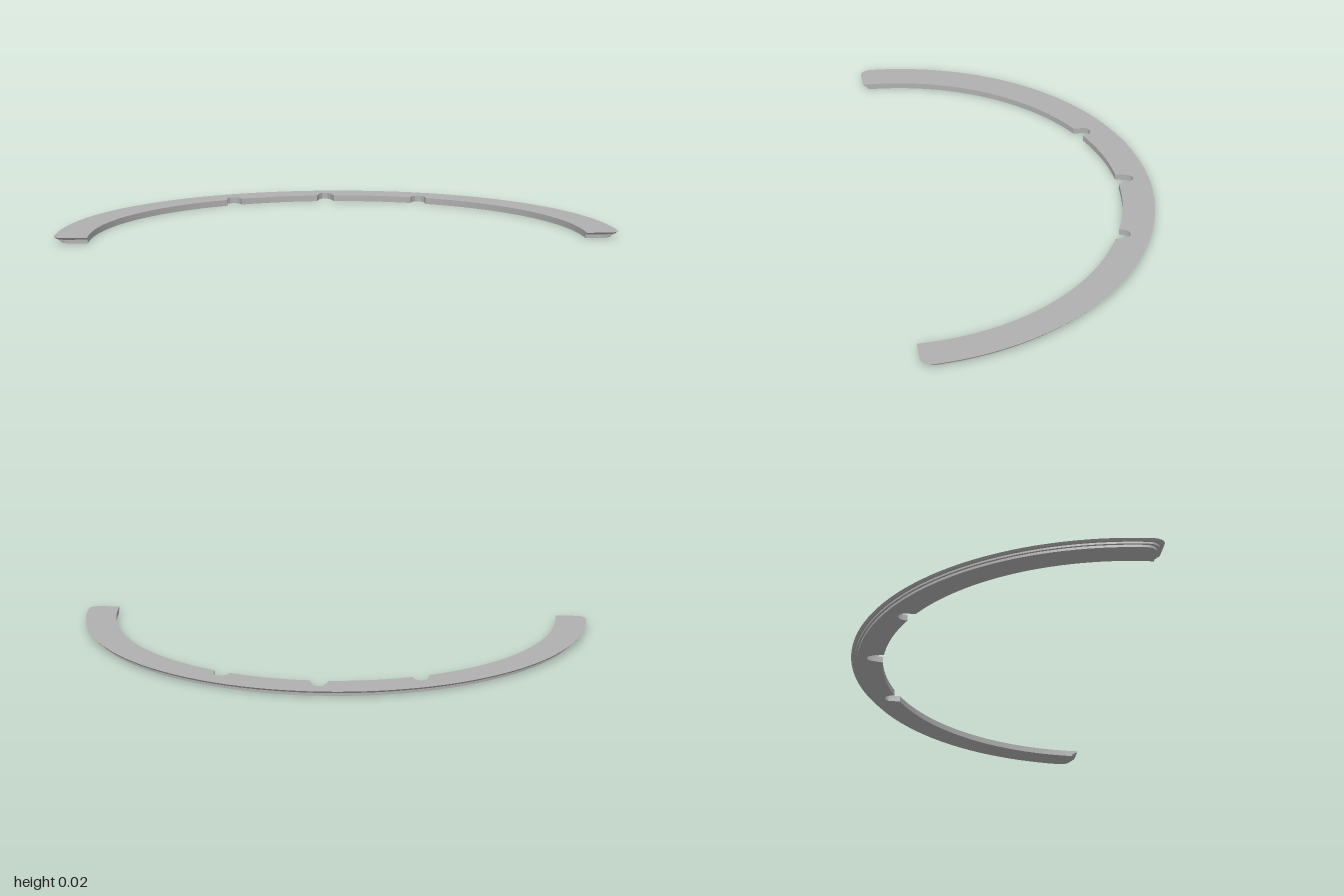
import * as THREE from 'three';
import { toCreasedNormals } from 'three/addons/utils/BufferGeometryUtils.js';

const INNER = 0.88;

// Points on an arc about the ring centre, both ends included
function arc(radius, from, to, steps) {
  return Array.from({ length: steps + 1 }, (_, i) => {
    const a = from + (to - from) * i / steps;
    return [radius * Math.cos(a), radius * Math.sin(a)];
  });
}

// Closed outline of the half ring; the outer rim and both ends are pulled in by inset
function outline(inset) {
  const R = 1 - inset, corner = 0.04;
  const angleAtX = x => Math.acos(x / INNER);
  const a0 = Math.asin((inset + corner) / R);
  const cx = R * Math.cos(a0) - corner;
  const half = [
    // middle notch
    [0, 0.941], [0.011, 0.939], [0.019, 0.931], [0.025, 0.915], [0.03, 0.895],
    ...arc(INNER, angleAtX(0.033), angleAtX(0.333), 12),
    // side notch
    [0.337, 0.83], [0.343, 0.841], [0.354, 0.849], [0.367, 0.85],
    [0.38, 0.845], [0.388, 0.835], [0.39, 0.82],
    ...arc(INNER, angleAtX(0.39), Math.asin(0.03 / INNER), 32),
    [Math.sqrt(INNER * INNER - inset * inset), inset],
  ];
  // rounded outer corner of the end
  for (let i = 0; i < 8; i++) {
    const t = -Math.PI / 2 + i / 8 * Math.PI / 2;
    half.push([cx + corner * Math.cos(t), inset + corner + corner * Math.sin(t)]);
  }
  half.push(...arc(R, a0, Math.PI / 2, 48));
  const mirrored = half.slice(1, -1).reverse().map(([x, q]) => [-x, q]);
  return [...half, ...mirrored];
}

function steppedRing() {
  // [inset, height] of each rim step, bottom to top
  const levels = [[0.022, 0], [0.022, 0.009], [0.014, 0.009], [0.014, 0.016], [0.006, 0.016], [0, 0.023]];
  const loops = levels.map(([inset, y]) => outline(inset).map(([x, q]) => [x, y, 0.5 - q]));
  const pos = [];
  const tri = (a, b, c) => pos.push(...a, ...b, ...c);
  const same = (a, b) => Math.hypot(a[0] - b[0], a[1] - b[1], a[2] - b[2]) < 1e-7;

  // walls and ledges
  for (let k = 0; k < loops.length - 1; k++) {
    const lo = loops[k], hi = loops[k + 1];
    for (let i = 0; i < lo.length; i++) {
      const j = (i + 1) % lo.length;
      if (!same(lo[j], hi[j])) tri(lo[i], lo[j], hi[j]);
      if (!same(lo[i], hi[i])) tri(lo[i], hi[j], hi[i]);
    }
  }

  // flat top and bottom
  const cap = (loop, up) => {
    const flat = loop.map(([x, , z]) => new THREE.Vector2(x, 0.5 - z));
    for (const [a, b, c] of THREE.ShapeUtils.triangulateShape(flat, [])) {
      if (up) tri(loop[a], loop[b], loop[c]);
      else tri(loop[a], loop[c], loop[b]);
    }
  };
  cap(loops[0], false);
  cap(loops[loops.length - 1], true);

  const geometry = new THREE.BufferGeometry();
  geometry.setAttribute('position', new THREE.Float32BufferAttribute(pos, 3));
  return toCreasedNormals(geometry, 0.5);
}

export function createModel() {
  const group = new THREE.Group();
  group.name = 'notchedHalfRing';
  const grey = new THREE.MeshStandardMaterial({ color: 0xb0b0b0 });
  grey.name = 'grey';
  const ring = new THREE.Mesh(steppedRing(), grey);
  ring.name = 'halfRing';
  group.add(ring);
  return group;
}
